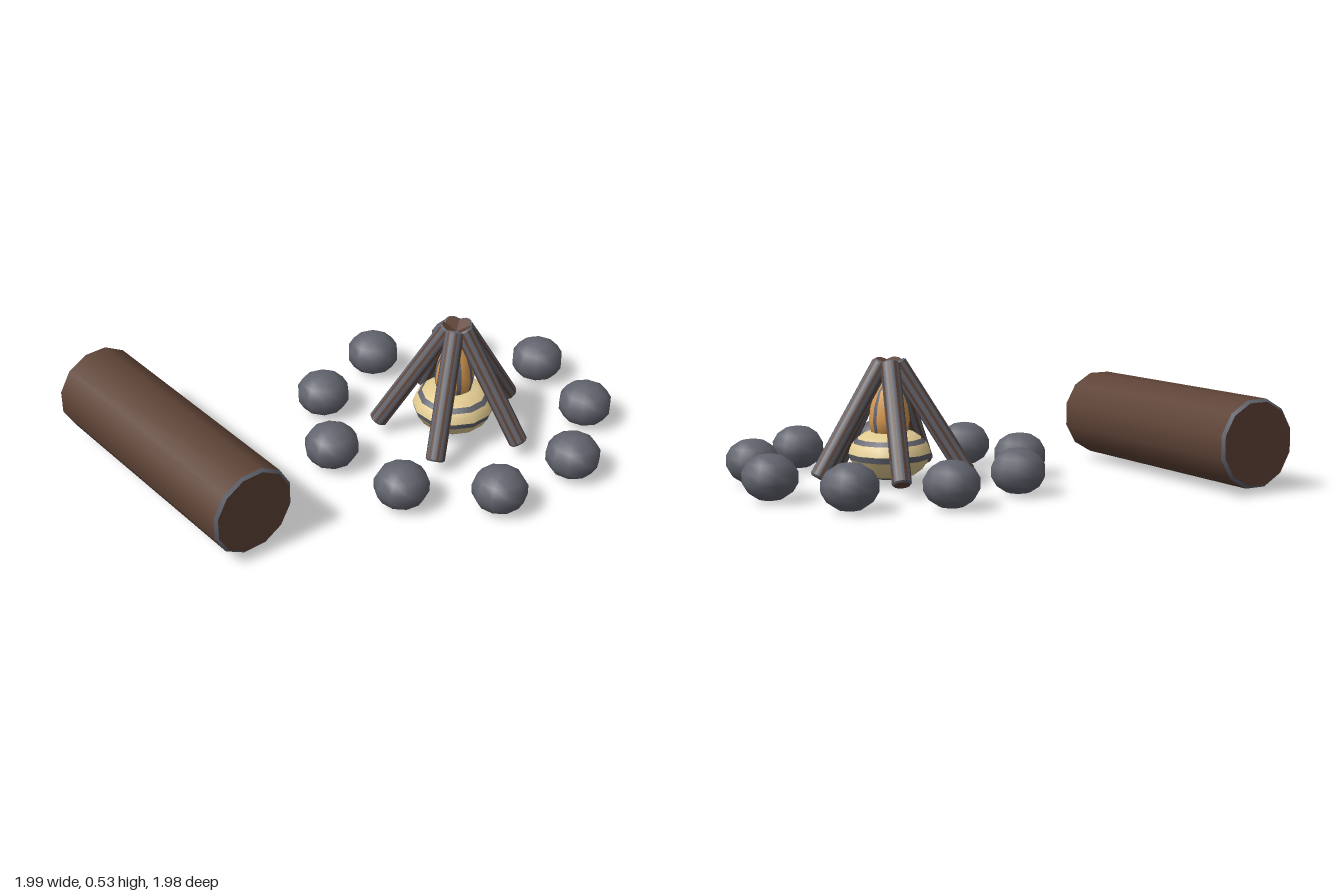
import * as THREE from 'three';
import { mergeGeometries } from 'three/addons/utils/BufferGeometryUtils.js';

const material = (name, color) => {
  const m = new THREE.MeshStandardMaterial({ color });
  m.name = name;
  return m;
};

// Lathe section from [radius, height] pairs listed from bottom to top
const lathe = (pairs, sides, start = 0, sweep = Math.PI * 2) =>
  new THREE.LatheGeometry(pairs.map(([r, y]) => new THREE.Vector2(r, y)), sides, start, sweep);

const addMesh = (parent, name, geometry, mat) => {
  const mesh = new THREE.Mesh(geometry, mat);
  mesh.name = name;
  parent.add(mesh);
  return mesh;
};

// Faceted column whose vertical edges are bevelled strips in a second colour
function stripedColumn(parent, name, pairs, sides, edgeShare, faceMat, edgeMat) {
  const faces = [], edges = [], step = Math.PI * 2 / sides;
  for (let i = 0; i < sides; i++) {
    const a = i * step;
    edges.push(lathe(pairs, 1, a - step * edgeShare / 2, step * edgeShare));
    faces.push(lathe(pairs, 1, a + step * edgeShare / 2, step * (1 - edgeShare)));
  }
  addMesh(parent, name + 'Faces', mergeGeometries(faces), faceMat);
  addMesh(parent, name + 'Edges', mergeGeometries(edges), edgeMat);
}

export function createModel() {
  const model = new THREE.Group();
  model.name = 'campfire';
  const grey = material('stoneGrey', 0x62646e);
  const brown = material('barkBrown', 0x5e4336);
  const yellow = material('flameYellow', 0xe2cb91);
  const orange = material('flameOrange', 0xd6984f);

  // Sitting log with bevelled rims
  const log = new THREE.Group();
  log.name = 'log';
  log.position.set(-0.413, 0.205, 0.662);
  log.rotation.set(0, -0.291, -Math.PI / 2, 'YXZ');
  const R = 0.185, H = 0.557, B = 0.012, turn = Math.PI / 12;
  const logParts = [
    ['logBody', [[R, -H + B], [R, H - B]], brown],
    ['logRimA', [[R, H - B], [R - B, H]], grey],
    ['logRimB', [[R - B, -H], [R, -H + B]], grey],
    ['logEndA', [[R - B, H], [0, H]], brown],
    ['logEndB', [[0, -H], [R - B, -H]], brown],
  ];
  for (const [name, pairs, mat] of logParts) addMesh(log, name, lathe(pairs, 12, turn), mat);
  model.add(log);

  const fire = new THREE.Group();
  fire.name = 'firePit';
  fire.position.set(0.313, 0, -0.32);
  model.add(fire);

  // Ring of stones
  const stoneGeometry = new THREE.SphereGeometry(0.115, 10, 7);
  for (let i = 0; i < 9; i++) {
    const a = i * Math.PI * 2 / 9;
    const stone = addMesh(fire, 'stone', stoneGeometry, grey);
    stone.position.set(Math.cos(a) * 0.57, 0.095, Math.sin(a) * 0.57);
    stone.scale.y = 0.826;
    stone.rotation.y = -a;
  }

  // Leaning sticks
  const foot = new THREE.Vector3(0.321, 0.054, 0), tip = new THREE.Vector3(0.032, 0.509, 0);
  const h = foot.distanceTo(tip) / 2, r = 0.04, b = 0.007;
  const lean = Math.atan2(foot.x - tip.x, tip.y - foot.y);
  for (let i = 0; i < 5; i++) {
    const arm = new THREE.Group();
    arm.name = 'stick';
    arm.rotation.y = i * Math.PI * 2 / 5;
    const stick = new THREE.Group();
    stick.position.copy(foot).add(tip).multiplyScalar(0.5);
    stick.rotation.z = lean;
    stripedColumn(stick, 'stick', [[r, -h + b], [r, h - b]], 8, 0.6, brown, grey);
    addMesh(stick, 'stickRims', mergeGeometries([
      lathe([[r, h - b], [r - b, h]], 16), lathe([[r - b, -h], [r, -h + b]], 16),
    ]), grey);
    addMesh(stick, 'stickEnds', mergeGeometries([
      lathe([[r - b, h], [0, h]], 16), lathe([[0, -h], [r - b, -h]], 16),
    ]), brown);
    arm.add(stick);
    fire.add(arm);
  }

  // Rounded lower flame, banded
  const bands = [
    [[[0, 0.032], [0.08, 0.032]], yellow],
    [[[0.08, 0.032], [0.102, 0.042]], grey],
    [[[0.102, 0.042], [0.14, 0.07], [0.167, 0.112]], yellow],
    [[[0.167, 0.112], [0.174, 0.137]], grey],
    [[[0.174, 0.137], [0.165, 0.162], [0.152, 0.178]], yellow],
    [[[0.152, 0.178], [0.135, 0.196]], grey],
    [[[0.135, 0.196], [0.1, 0.219], [0, 0.232]], yellow],
  ];
  for (const [pairs, mat] of bands) addMesh(fire, 'lowerFlame', lathe(pairs, 12), mat);

  // Upright inner flame with edge strips
  stripedColumn(fire, 'upperFlame',
    [[0.04, 0.18], [0.075, 0.22], [0.085, 0.27], [0.077, 0.33], [0.055, 0.39], [0.025, 0.43], [0, 0.44]],
    8, 0.3, orange, grey);

  return model;
}
